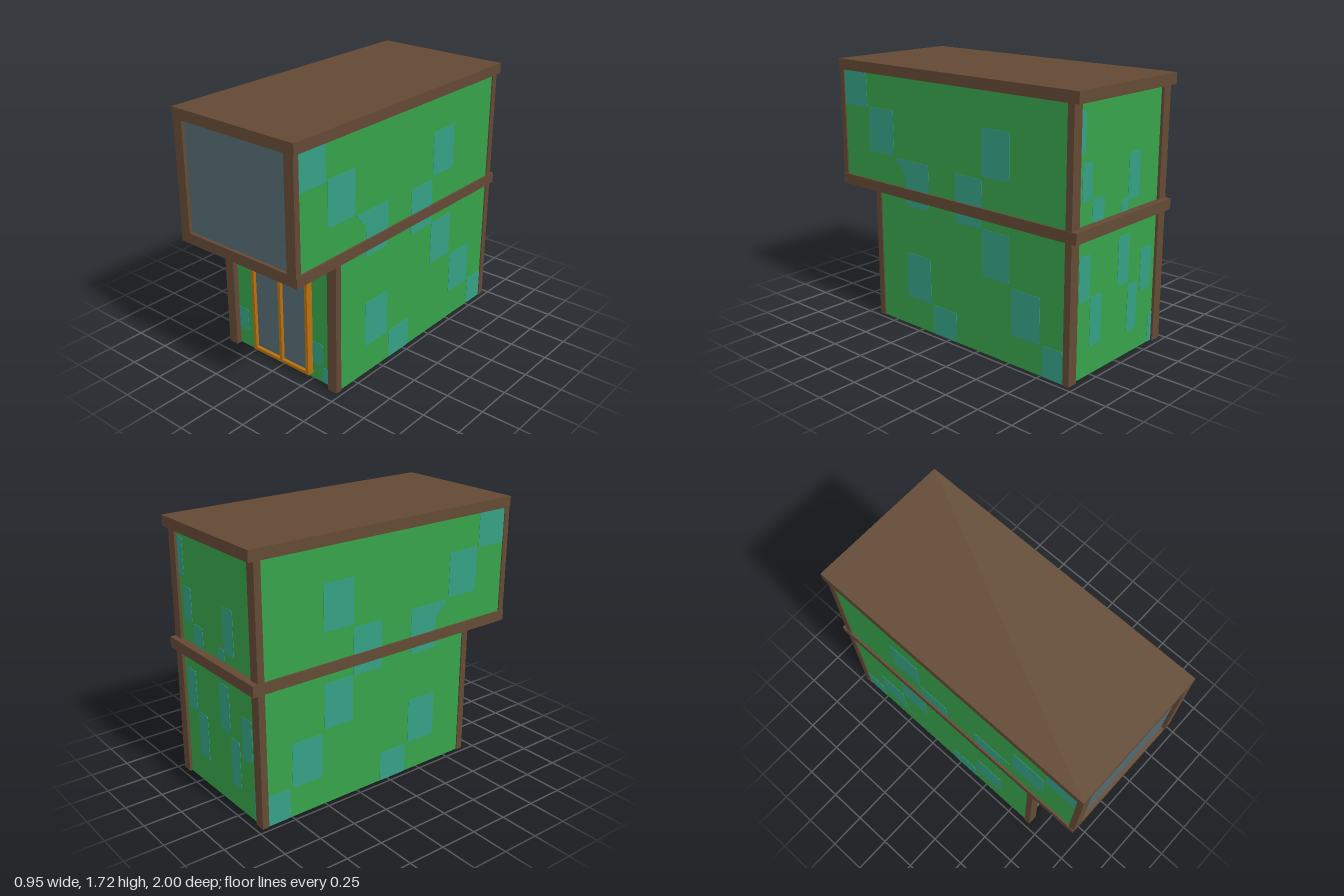
import * as THREE from 'three';

const mat = (name, color) => {
  const m = new THREE.MeshStandardMaterial({ color });
  m.name = name;
  return m;
};

export function createModel() {
  const timber = mat('brown timber', 0x634934);
  const green = mat('green wall', 0x36a24a);
  const teal = mat('teal patch', 0x35a084);
  const glass = mat('grey glass', 0x52696f);
  const orange = mat('orange door frame', 0xb8700f);

  const house = new THREE.Group();
  house.name = 'house';

  // Box given by its minimum and maximum corners
  const box = (name, material, [x0, y0, z0], [x1, y1, z1], parent = house) => {
    const mesh = new THREE.Mesh(new THREE.BoxGeometry(x1 - x0, y1 - y0, z1 - z0), material);
    mesh.position.set((x0 + x1) / 2, (y0 + y1) / 2, (z0 + z1) / 2);
    mesh.name = name;
    parent.add(mesh);
    return mesh;
  };

  // Thin patch with rounded corners, showing on both faces of a wall
  const patch = ([x0, x1, y0, y1, slant = 0]) => {
    const r = 0.014;
    const s = new THREE.Shape();
    s.moveTo(x0 + r, y0);
    s.lineTo(x1 - r, y0);
    s.quadraticCurveTo(x1, y0, x1, y0 + r);
    if (slant) {
      s.lineTo(x1, y1 - 0.1);
      s.lineTo(x1 + slant, y1 - r);
      s.lineTo(x1 + slant, y1);
    } else {
      s.lineTo(x1, y1 - r);
      s.quadraticCurveTo(x1, y1, x1 - r, y1);
    }
    s.lineTo(x0 + r, y1);
    s.quadraticCurveTo(x0, y1, x0, y1 - r);
    s.lineTo(x0, y0 + r);
    s.quadraticCurveTo(x0, y0, x0 + r, y0);
    const geo = new THREE.ExtrudeGeometry(s, { depth: 0.008, bevelEnabled: false, curveSegments: 3 });
    geo.translate(0, 0, -0.004);
    const mesh = new THREE.Mesh(geo, teal);
    mesh.name = 'wallPatch';
    return mesh;
  };

  // Wall sheet drawn in its own x-y plane, with patches
  const wall = (name, x0, x1, y0, y1, patches) => {
    const g = new THREE.Group();
    g.name = name;
    box('wallSheet', green, [x0, y0, -0.002], [x1, y1, 0.002], g);
    patches.forEach((p) => g.add(patch(p)));
    house.add(g);
    return g;
  };

  // Roof and floor slabs
  box('roofSlab', timber, [-0.475, 1.65, -1], [0.475, 1.72, 1]);
  box('floorSlab', timber, [-0.475, 0.87, -1], [0.475, 0.94, 1]);

  // Corner posts of both storeys
  for (const s of [-1, 1]) {
    const [a, b] = s < 0 ? [-0.47, -0.4] : [0.4, 0.47];
    box('lowerFrontPost', timber, [a, 0, 0.625], [b, 0.87, 0.67]);
    box('lowerBackPost', timber, [a, 0, -0.965], [b, 0.87, -0.92]);
    box('upperFrontPost', timber, [a, 0.94, 0.96], [b, 1.65, 1]);
    box('upperBackPost', timber, [a, 0.94, -0.965], [b, 1.65, -0.92]);
  }

  // Side walls, with local x running along the depth
  for (const s of [-1, 1]) {
    const upper = wall('upperSideWall', -0.945, 0.975, 0.94, 1.65, [
      [0.74, 0.96, 1.42, 1.648], [0.49, 0.725, 1.135, 1.43], [-0.5, -0.28, 1.135, 1.43],
      [0.175, 0.385, 0.94, 1.125, 0.085], [-0.28, -0.06, 0.94, 1.115],
    ]);
    const lower = wall('lowerSideWall', -0.945, 0.63, 0, 0.87, [
      [0.175, 0.39, 0.825, 0.87], [-0.28, -0.06, 0.805, 0.87], [-0.5, -0.285, 0.51, 0.81],
      [0.17, 0.39, 0.2, 0.505], [-0.74, -0.52, 0.195, 0.49], [-0.06, 0.15, 0, 0.2],
      [-0.93, -0.76, 0, 0.2],
    ]);
    for (const g of [upper, lower]) {
      g.rotation.y = -Math.PI / 2;
      g.position.x = s * 0.46;
    }
  }

  // Front and back walls
  wall('lowerFrontWall', -0.46, 0.46, 0, 0.87, [
    [-0.42, -0.33, 0.76, 0.87], [-0.32, -0.22, 0.6, 0.757], [0.1, 0.205, 0.6, 0.757],
    [-0.42, -0.32, 0.115, 0.275], [0.22, 0.325, 0.115, 0.27], [0.325, 0.42, 0, 0.11],
    [-0.1, 0, 0, 0.11],
  ]).position.z = 0.63;
  wall('lowerBackWall', -0.46, 0.46, 0, 0.87, [
    [0.15, 0.26, 0.18, 0.49], [-0.12, -0.01, 0.48, 0.79], [-0.22, -0.12, 0.15, 0.46],
    [-0.36, -0.25, 0.38, 0.66], [0.27, 0.37, 0.48, 0.76], [-0.43, -0.36, 0, 0.2],
  ]).position.z = -0.945;
  wall('upperBackWall', -0.46, 0.46, 0.94, 1.65, [
    [0.34, 0.43, 1.36, 1.6], [0.27, 0.36, 1.08, 1.3], [0.15, 0.26, 0.94, 1.08],
    [-0.2, -0.09, 1.0, 1.29], [-0.09, -0.02, 0.94, 1.02],
  ]).position.z = -0.945;

  // Large upper window
  box('upperWindow', glass, [-0.41, 0.94, 0.972], [0.41, 1.65, 0.978]);

  // Double glass door
  const door = new THREE.Group();
  door.name = 'door';
  house.add(door);
  for (const x of [-0.23, 0, 0.223]) {
    box('doorUpright', orange, [x, 0.04, 0.63], [x + 0.022, 0.7, 0.678], door);
  }
  for (const y of [0.037, 0.68]) {
    box('doorRail', orange, [-0.23, y, 0.63], [0.245, y + 0.022, 0.678], door);
  }
  box('doorGlass', glass, [-0.22, 0.05, 0.65], [0.235, 0.69, 0.656], door);

  return house;
}
